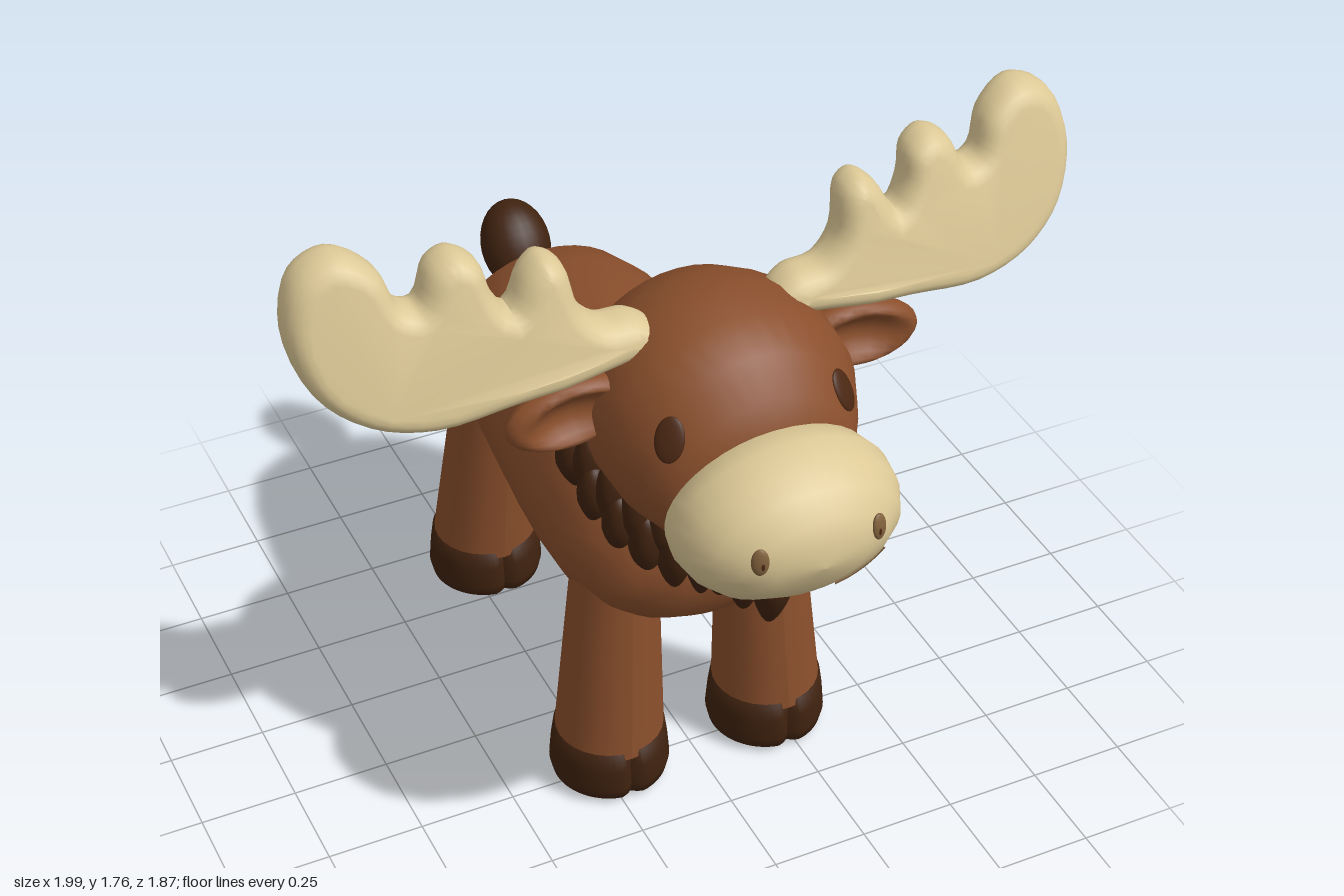
import * as THREE from 'three';
import { toCreasedNormals } from 'three/addons/utils/BufferGeometryUtils.js';

const mat = (name, color) => Object.assign(new THREE.MeshStandardMaterial({ color }), { name });

export function createModel() {
  const brown = mat('brown fur', 0x8a4f2c);
  const dark = mat('dark brown', 0x3f220f);
  const tan = mat('tan', 0xdcc896);
  const eyeBrown = mat('eye brown', 0x4a2712);
  const grey = mat('nostril brown', 0x80603c);
  const model = new THREE.Group();

  const add = (name, geo, material, x = 0, y = 0, z = 0) => {
    const m = new THREE.Mesh(geo, material);
    m.name = name;
    m.position.set(x, y, z);
    model.add(m);
    return m;
  };

  // Skin over elliptical sections [z, top, bottom, halfWidth]; shear leans the sections
  const loft = (sections, shear = 0, n = 36) => {
    const pos = [], idx = [];
    sections.forEach(([z, top, bot, w], i) => {
      const cy = (top + bot) / 2, h = (top - bot) / 2;
      for (let j = 0; j < n; j++) {
        const t = (j / n) * Math.PI * 2, dy = h * Math.sin(t);
        pos.push(w * Math.cos(t), cy + dy, z + dy * shear);
        if (i === sections.length - 1) continue;
        const a = i * n + j, b = i * n + (j + 1) % n;
        idx.push(a, b, a + n, b, b + n, a + n);
      }
    });
    const g = new THREE.BufferGeometry();
    g.setAttribute('position', new THREE.Float32BufferAttribute(pos, 3));
    g.setIndex(idx);
    g.computeVertexNormals();
    return g;
  };

  const ellipsoid = (rx, ry, rz) => new THREE.SphereGeometry(1, 24, 16).scale(rx, ry, rz);

  // Apply a rule to every vertex
  const warp = (g, rule) => {
    const p = g.attributes.position, v = new THREE.Vector3();
    for (let i = 0; i < p.count; i++) {
      rule(v.fromBufferAttribute(p, i));
      p.setXYZ(i, v.x, v.y, v.z);
    }
    g.computeVertexNormals();
    return g;
  };

  // Body
  add('body', loft([
    [-0.775, 0.76, 0.76, 0], [-0.765, 0.85, 0.67, 0.11], [-0.73, 0.93, 0.59, 0.205],
    [-0.65, 1.0, 0.535, 0.27], [-0.5, 1.05, 0.49, 0.3], [-0.3, 1.075, 0.465, 0.32],
    [-0.1, 1.085, 0.44, 0.337], [0.05, 1.09, 0.44, 0.347], [0.2, 1.065, 0.46, 0.347],
    [0.33, 1.0, 0.515, 0.31], [0.41, 0.9, 0.58, 0.23], [0.445, 0.81, 0.65, 0.11],
    [0.455, 0.73, 0.73, 0],
  ]), brown);

  // Head
  const head = add('head', loft([
    [0.055, 1.24, 1.24, 0], [0.065, 1.31, 1.17, 0.09], [0.1, 1.385, 1.085, 0.18],
    [0.16, 1.445, 1.01, 0.25], [0.25, 1.49, 0.95, 0.3], [0.36, 1.515, 0.915, 0.327],
    [0.47, 1.5, 0.91, 0.32], [0.56, 1.45, 0.92, 0.28], [0.63, 1.37, 0.935, 0.235],
    [0.67, 1.29, 0.98, 0.17], [0.69, 1.12, 1.12, 0],
  ]), brown);

  // Muzzle
  const muzzle = add('muzzle', loft([
    [0.62, 1.12, 1.12, 0], [0.625, 1.3, 0.95, 0.22], [0.65, 1.325, 0.92, 0.265],
    [0.71, 1.33, 0.92, 0.28], [0.78, 1.31, 0.93, 0.272], [0.84, 1.275, 0.955, 0.242],
    [0.89, 1.225, 1.0, 0.185], [0.92, 1.175, 1.045, 0.115], [0.932, 1.11, 1.11, 0],
  ], 0.14), tan);

  // Point and normal of a part's front surface at x, y
  const ray = new THREE.Raycaster();
  const onFront = (part, x, y) => {
    ray.set(new THREE.Vector3(x, y, 3), new THREE.Vector3(0, 0, -1));
    return ray.intersectObject(part)[0];
  };
  const spot = (name, part, x, y, rx, ry, material) => {
    const hit = onFront(part, x, y);
    const m = add(name, ellipsoid(rx, ry, 0.01), material, ...hit.point.toArray());
    m.lookAt(hit.point.clone().add(hit.face.normal));
  };

  // Smile line on the left cheek
  const smile = [[0.05, 1.015], [0.1, 1.012], [0.15, 1.03], [0.185, 1.065]]
    .map(([x, y]) => onFront(muzzle, x, y).point);
  add('mouth', new THREE.TubeGeometry(new THREE.CatmullRomCurve3(smile), 20, 0.006, 6), grey);

  // Hoof with a cleft at the front
  const hoof = () => warp(new THREE.LatheGeometry(
    [[0, 0.005], [0.12, 0.005], [0.148, 0.02], [0.155, 0.05], [0.15, 0.11], [0.143, 0.16], [0.11, 0.165]]
      .map(([r, y]) => new THREE.Vector2(r, y)), 64), (v) => {
    const a = Math.atan2(v.x, v.z), k = 1 - 0.12 * Math.exp(-((a / 0.11) ** 2));
    v.x *= k;
    v.z *= k;
  });

  // Antler outline for the left side
  const outline = [
    [0.15, 1.45], [0.2, 1.49], [0.28, 1.5], [0.33, 1.55], [0.355, 1.65], [0.4, 1.675], [0.445, 1.645],
    [0.49, 1.575], [0.525, 1.62], [0.545, 1.69], [0.6, 1.72], [0.655, 1.695], [0.695, 1.62],
    [0.735, 1.63], [0.77, 1.71], [0.86, 1.765], [0.955, 1.725], [0.995, 1.6], [0.955, 1.46],
    [0.85, 1.37], [0.7, 1.335], [0.5, 1.36], [0.3, 1.385], [0.18, 1.41],
  ];
  const antler = (s) => {
    const curve = new THREE.CatmullRomCurve3(
      outline.map(([x, y]) => new THREE.Vector3(s * x, y, 0)), true);
    const pts = curve.getPoints(96).slice(0, -1).map((p) => new THREE.Vector2(p.x, p.y));
    const g = new THREE.ExtrudeGeometry(new THREE.Shape(pts), {
      depth: 0.02, bevelThickness: 0.055, bevelSize: 0.045, bevelOffset: -0.045,
      bevelSegments: 5,
    });
    warp(g, (v) => {
      v.z += 0.33 - 0.12 * Math.max(0, Math.abs(v.x) - 0.4) - 0.3 * (v.y - 1.45);
    });
    return toCreasedNormals(g, 1.0);
  };

  for (const s of [1, -1]) {
    const side = s > 0 ? 'left' : 'right';
    spot(side + 'Eye', head, s * 0.222, 1.305, 0.036, 0.055, eyeBrown);
    spot(side + 'Nostril', muzzle, s * 0.15, 1.16, 0.021, 0.034, grey);
    spot(side + 'NostrilCentre', muzzle, s * 0.146, 1.155, 0.011, 0.022, eyeBrown);
    add(side + 'Antler', antler(s), tan);

    // Ear, hollowed at the front
    const earGeo = warp(ellipsoid(1, 1, 1), (v) => {
      const r2 = v.x * v.x + v.y * v.y;
      if (v.z > 0) v.z -= 1.1 * Math.max(0, 1 - r2 / 0.6);
    }).scale(0.165, 0.088, 0.062);
    const ear = add(side + 'Ear', earGeo, brown, s * 0.37, 1.285, 0.37);
    ear.rotation.z = -s * 0.1;

    // Legs: [name, foot x, foot z, top x, top z]
    for (const [name, x, z, tx, tz] of [
      ['Front', 0.224, 0.24, 0.2, 0.23], ['Back', 0.205, -0.63, 0.185, -0.57],
    ]) {
      const leg = warp(new THREE.CylinderGeometry(0.11, 0.141, 0.52, 28, 4, true), (v) => {
        const t = (v.y + 0.26) / 0.52;
        v.x += s * (x + (tx - x) * t);
        v.z += z + (tz - z) * t;
        v.y += 0.4;
      });
      add(side + name + 'Leg', leg, brown);
      add(side + name + 'Hoof', hoof(), dark, s * x, 0, z);
    }
  }

  // Tail
  add('tail', ellipsoid(0.095, 0.125, 0.083), dark, 0, 0.9, -0.838).rotation.x = -0.6;

  // Pointed tufts of fur
  const tuft = (name, x, y, z, w, h, yaw, pitch) => {
    const g = warp(ellipsoid(1, 1, 1), (v) => {
      const k = v.y < 0 ? 1 + 0.35 * v.y : 1;
      v.x *= k;
      v.z *= k;
    }).scale(w, h, 0.05);
    add(name, g, dark, x, y, z).rotation.set(pitch, yaw, 0, 'YXZ');
  };

  // Two rows of tufts around the neck
  for (let i = -6; i <= 6; i++) {
    const u = i / 6, x = 0.29 * Math.sin(u * 1.4);
    tuft('collarTuft', x, 0.785 + 0.215 * u * u, 0.455 - 0.26 * u * u, 0.045, 0.12 - 0.025 * Math.abs(u), u * 1.2, 0.15);
    if (i < 6) {
      const q = (i + 0.5) / 6;
      tuft('upperCollarTuft', 0.275 * Math.sin(q * 1.4), 0.86 + 0.17 * q * q, 0.45 - 0.24 * q * q, 0.045, 0.1, q * 1.2, 0.1);
    }
  }

  // Chin beard
  tuft('beardTuft', 0, 0.86, 0.68, 0.048, 0.11, 0, 0.1);
  for (const s of [1, -1]) {
    tuft('beardTuft', s * 0.06, 0.885, 0.655, 0.042, 0.09, s * 0.4, 0.1);
    tuft('beardTuft', s * 0.11, 0.91, 0.63, 0.038, 0.07, s * 0.7, 0.1);
  }

  return model;
}
